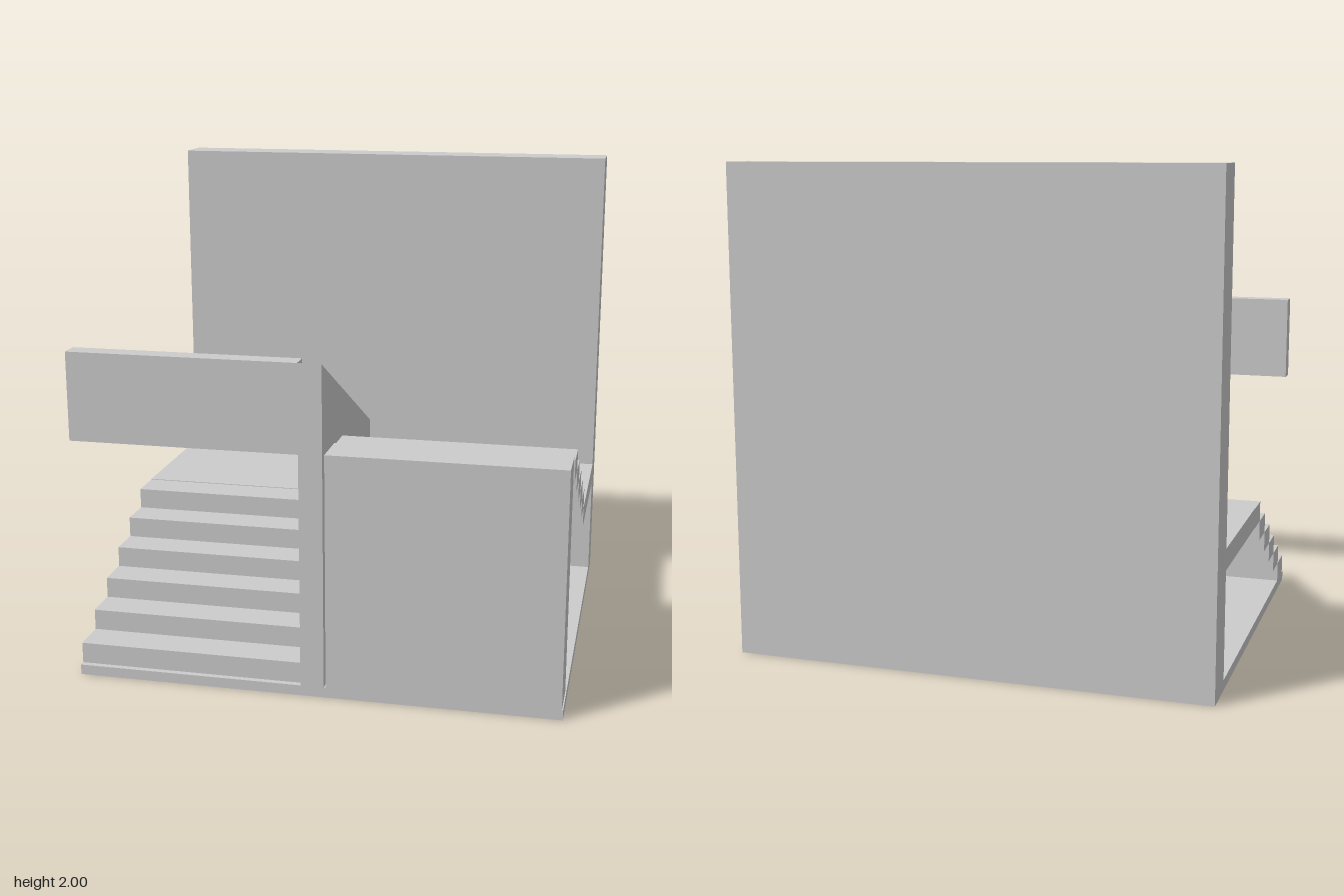
import * as THREE from 'three';

const material = new THREE.MeshStandardMaterial({ color: 0xcccccc, flatShading: true });

export function createModel() {
  const model = new THREE.Group();
  model.name = 'staircase';

  // Box given by its extents along each axis
  const slab = (name, [x0, x1], [y0, y1], [z0, z1], parent = model) => {
    const mesh = new THREE.Mesh(new THREE.BoxGeometry(x1 - x0, y1 - y0, z1 - z0), material);
    mesh.position.set((x0 + x1) / 2, (y0 + y1) / 2, (z0 + z1) / 2);
    mesh.name = name;
    parent.add(mesh);
  };

  const W = 0.985, D = 0.862;
  const wallZ = -0.69, landingZ = -0.035;
  const run = 0.1455, rise = 0.0862;

  // Floor, back wall and half-height landing
  slab('floor', [-W, W], [0, 0.042], [-D, D]);
  slab('backWall', [-W, W], [0, 2], [-D, wallZ]);
  slab('landing', [-W, W], [0.476, 0.562], [wallZ, landingZ]);

  // Front wall carrying the top of the upper flight
  slab('frontWall', [0.048, 0.98], [0, 1.005], [0.692, D]);

  // Parapet beam over the lower flight
  slab('parapet', [-W, -0.055], [1.0, 1.36], [0.782, D]);

  // Dividing wall with a sloping top; the profile is drawn in z and y
  const profile = new THREE.Shape([
    new THREE.Vector2(-D, 0),
    new THREE.Vector2(-landingZ, 0),
    new THREE.Vector2(-landingZ, 0.905),
    new THREE.Vector2(-D, 1.36),
  ]);
  const divider = new THREE.Mesh(
    new THREE.ExtrudeGeometry(profile, { depth: 0.095, bevelEnabled: false }), material);
  divider.rotation.y = Math.PI / 2;
  divider.position.x = -0.055;
  divider.name = 'dividingWall';
  model.add(divider);

  // A flight of separate block steps, each meeting the next at its edge
  const flight = (name, xs, count, y, z, dir) => {
    const group = new THREE.Group();
    group.name = name;
    for (let i = 0; i < count; i++) {
      const a = z + dir * run * i, b = a + dir * run;
      slab('step', xs, [y + rise * i, y + rise * (i + 1)], [Math.min(a, b), Math.max(a, b)], group);
    }
    model.add(group);
  };
  flight('lowerFlight', [-W, -0.055], 6, 0.042, landingZ + 6 * run, -1);
  flight('upperFlight', [0.048, W], 5, 0.564, landingZ, 1);

  return model;
}
